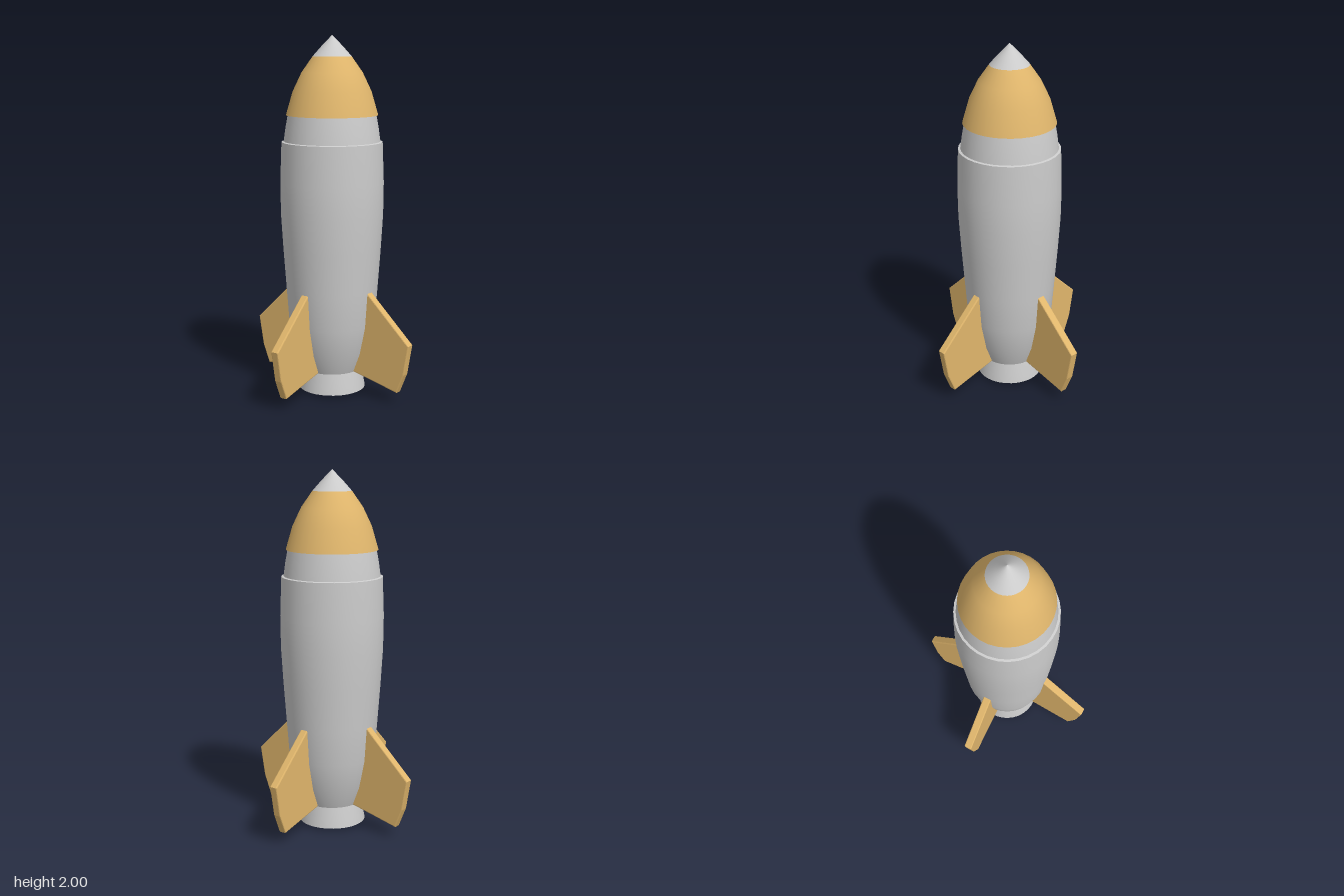
import * as THREE from 'three';

const grey = new THREE.MeshStandardMaterial({ color: 0xcccccc });
const gold = new THREE.MeshStandardMaterial({ color: 0xe0b66c });

// Turned part: profile of [radius, height], listed so the outside runs upwards
function turned(name, profile, material) {
  const points = profile.map(([r, y]) => new THREE.Vector2(r, y));
  const mesh = new THREE.Mesh(new THREE.LatheGeometry(points, 32), material);
  mesh.name = name;
  return mesh;
}

// Swept fin plate, slightly rounded on its edges, lying along +x
function finGeometry() {
  const bevel = 0.006, thickness = 0.046;
  const outline = [[0.15, 0.14], [0.446, 0.072], [0.488, 0.175], [0.517, 0.34], [0.25, 0.594], [0.235, 0.594], [0.2, 0.36]];
  const shape = new THREE.Shape(outline.map(([x, y]) => new THREE.Vector2(x, y)));
  const geometry = new THREE.ExtrudeGeometry(shape, {
    depth: thickness - 2 * bevel, bevelEnabled: true,
    bevelSize: bevel, bevelThickness: bevel, bevelSegments: 2,
  });
  geometry.translate(0, 0, bevel - thickness / 2);
  return geometry;
}

export function createModel() {
  const rocket = new THREE.Group();
  rocket.name = 'rocket';

  // Hull with a small lip, then the tapered neck
  rocket.add(
    turned('hull', [[0.165, 0.13], [0.208, 0.24], [0.243, 0.4], [0.258, 0.6], [0.274, 0.82],
      [0.286, 1.02], [0.288, 1.2], [0.28, 1.42]], grey),
    turned('hullLip', [[0.28, 1.42], [0.262, 1.425]], grey),
    turned('neck', [[0.268, 1.42], [0.257, 1.5], [0.243, 1.575]], grey),
  );

  // Nose cone with overhanging rim and pale tip
  rocket.add(
    turned('noseUnderside', [[0.2, 1.572], [0.254, 1.567]], gold),
    turned('noseCone', [[0.254, 1.567], [0.217, 1.695], [0.168, 1.798], [0.107, 1.885]], gold),
    turned('noseTip', [[0.107, 1.885], [0.06, 1.938], [0, 2]], grey),
  );

  // Exhaust nozzle: flared outside, bottom rim and coloured inside
  rocket.add(
    turned('hullBottom', [[0, 0.13], [0.165, 0.13]], grey),
    turned('nozzle', [[0.188, 0.015], [0.18, 0.06], [0.165, 0.13]], grey),
    turned('nozzleRim', [[0.138, 0], [0.188, 0.015]], grey),
    turned('nozzleInside', [[0, 0.125], [0.07, 0.11], [0.115, 0.07], [0.138, 0]], gold),
  );

  // Four fins, turned slightly off the axes
  const geometry = finGeometry();
  for (let i = 0; i < 4; i++) {
    const fin = new THREE.Mesh(geometry, gold);
    fin.name = 'fin' + (i + 1);
    fin.rotation.y = 0.1 + i * Math.PI / 2;
    rocket.add(fin);
  }
  return rocket;
}
